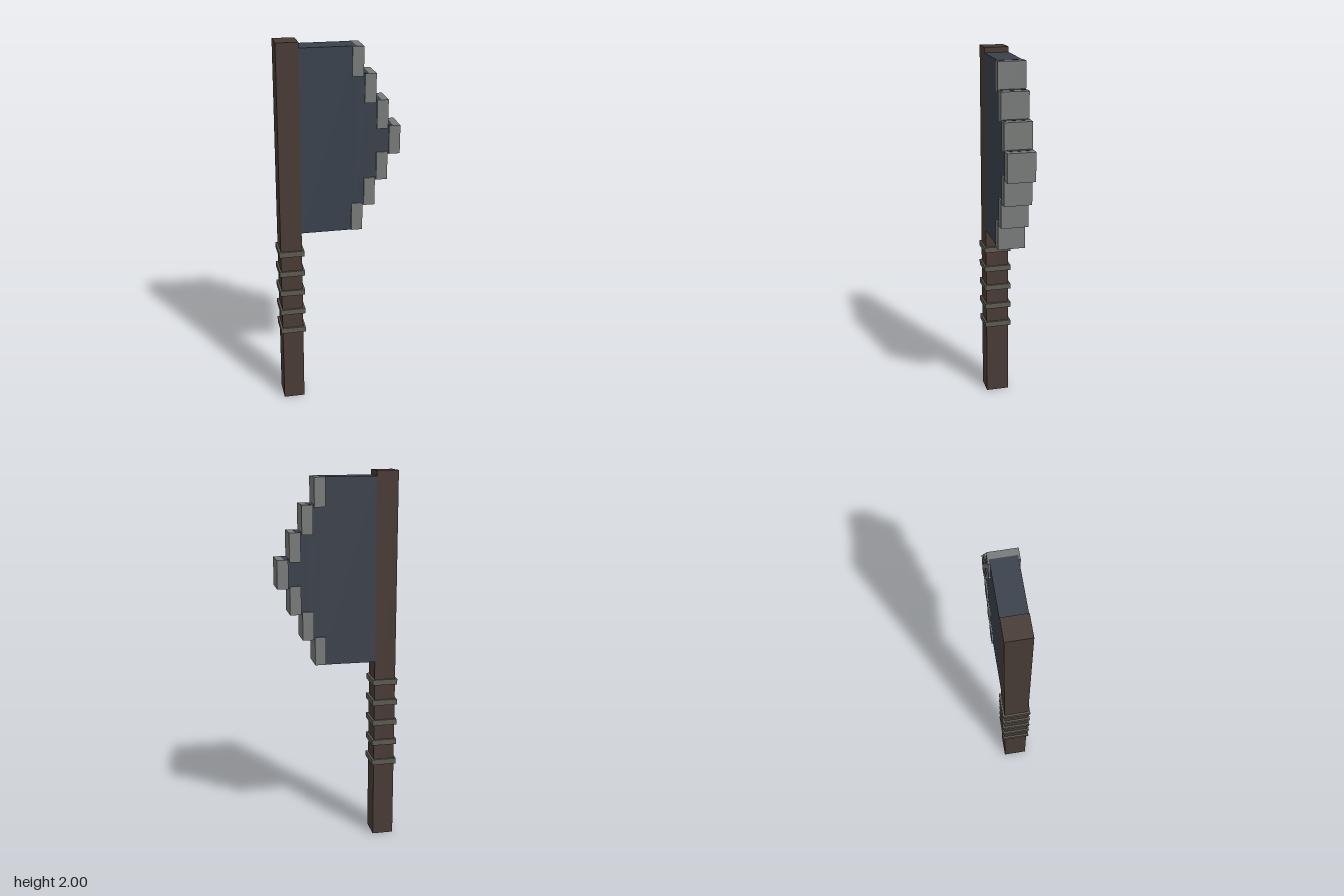
import * as THREE from 'three';

const material = (name, color) => {
  const m = new THREE.MeshStandardMaterial({ color });
  m.name = name;
  return m;
};

export function createModel() {
  const wood = material('dark wood', 0x483b34);
  const iron = material('dark iron', 0x3a414c);
  const steel = material('sharpened steel', 0x787b79);
  const cord = material('grip cord', 0x5d5b50);

  const model = new THREE.Group();
  model.name = 'axe';

  // Box given by its x and y ranges and its half depth
  const box = (name, mat, x0, x1, y0, y1, halfDepth) => {
    const mesh = new THREE.Mesh(new THREE.BoxGeometry(x1 - x0, y1 - y0, halfDepth * 2), mat);
    mesh.position.set((x0 + x1) / 2, (y0 + y1) / 2, 0);
    mesh.name = name;
    model.add(mesh);
  };

  // Handle with five grip bands
  box('handle', wood, -0.31, -0.197, 0, 2, 0.064);
  for (let i = 0; i < 5; i++) {
    const y = 0.432 + i * 0.114;
    box('gripBand', cord, -0.32, -0.185, y - 0.015, y + 0.015, 0.074);
  }

  // Stepped blade, each step shorter and reaching further out
  const middle = 1.487, stepX = 0.0645, stepY = 0.1365;
  for (let i = 0; i < 4; i++) {
    const half = 0.484 - i * stepY;
    const left = i === 0 ? -0.197 : 0.09 + (i - 1) * stepX;
    box('bladeStep', iron, left, 0.09 + i * stepX, middle - half - 0.001, middle + half + 0.001, 0.064);

    // Cutting edge blocks, mirrored above and below the tip
    const x0 = 0.068 + i * stepX, x1 = x0 + 0.058;
    if (i === 3) {
      box('edgeTip', steel, x0, x1, middle - half, middle + half, 0.072);
    } else {
      box('upperEdge', steel, x0, x1, middle + half - 0.149, middle + half, 0.072);
      box('lowerEdge', steel, x0, x1, middle - half, middle - half + 0.149, 0.072);
    }
  }
  return model;
}
